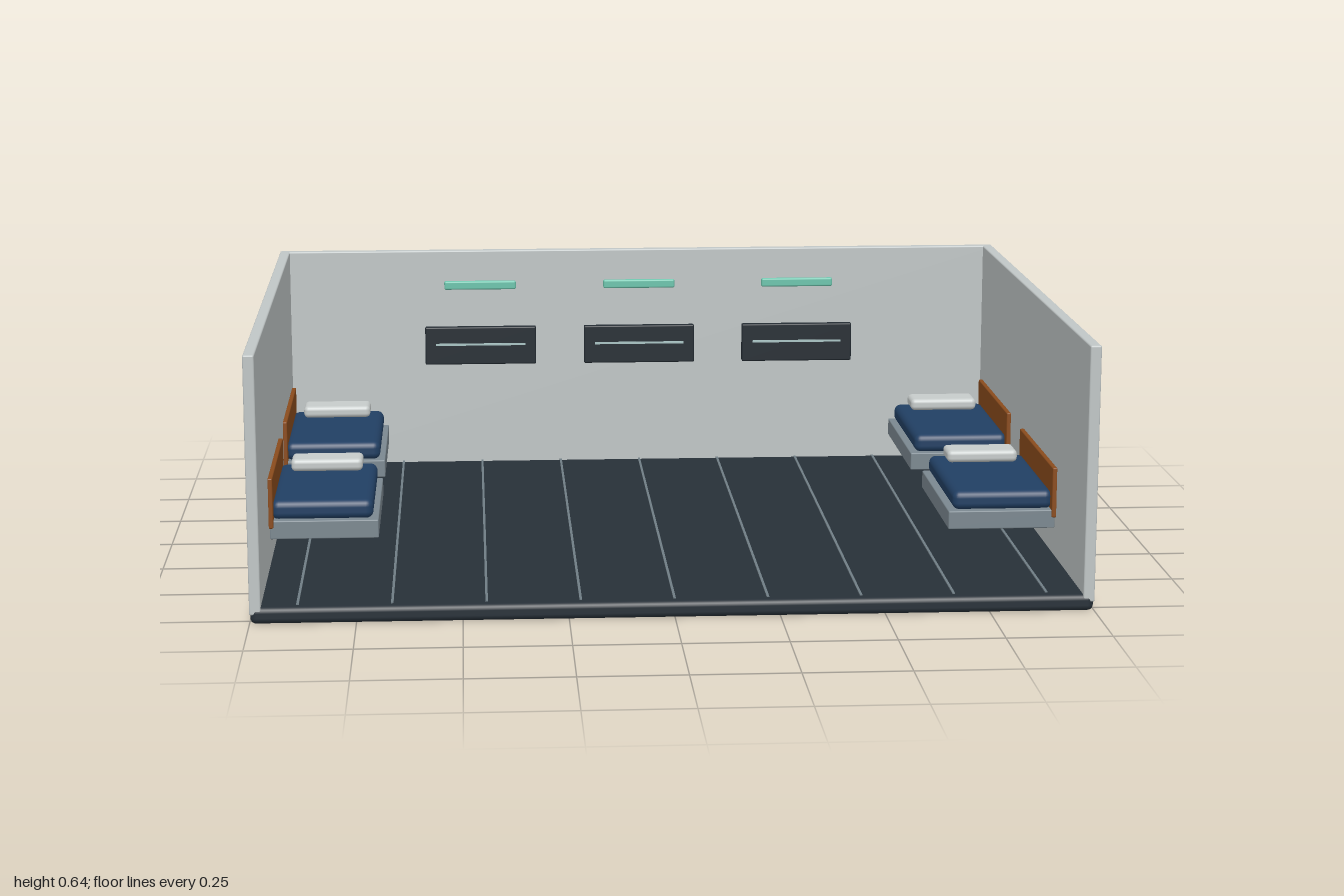
import * as THREE from 'three';
import { RoundedBoxGeometry } from 'three/addons/geometries/RoundedBoxGeometry.js';

const mat = (color) => new THREE.MeshStandardMaterial({ color });
const MAT = {
  wall: mat(0xc0c6c6), floor: mat(0x273038), seam: mat(0x6f7d84), base: mat(0x7b8890),
  blanket: mat(0x213f63), pillow: mat(0xc6cbca), wood: mat(0x8a4b1c),
  panel: mat(0x232b32), line: mat(0xa9c4c4), light: mat(0x6cc4ac),
};

// Box given by its [min, max] extents on each axis; r rounds the edges
function block(parent, name, material, [x0, x1], [y0, y1], [z0, z1], r = 0) {
  const size = [x1 - x0, y1 - y0, z1 - z0];
  const geo = r ? new RoundedBoxGeometry(...size, 3, r) : new THREE.BoxGeometry(...size);
  const mesh = new THREE.Mesh(geo, material);
  mesh.name = name;
  mesh.position.set((x0 + x1) / 2, (y0 + y1) / 2, (z0 + z1) / 2);
  parent.add(mesh);
  return mesh;
}

// Wall-mounted bunk against the wall on the given side (-1 or 1)
function createBunk(side, z) {
  const bunk = new THREE.Group();
  bunk.name = side > 0 ? 'leftBunk' : 'rightBunk';
  const span = (a, b) => (side > 0 ? [a, b] : [-b, -a]);
  block(bunk, 'bunkBase', MAT.base, span(0.705, 0.971), [0.112, 0.158], [-0.228, 0.228], 0.003);
  block(bunk, 'mattress', MAT.blanket, span(0.718, 0.968), [0.156, 0.204], [-0.213, 0.213], 0.018);
  block(bunk, 'pillow', MAT.pillow, span(0.753, 0.935), [0.204, 0.236], [-0.195, -0.108], 0.012);
  block(bunk, 'headboard', MAT.wood, span(0.962, 0.974), [0.14, 0.266], [-0.234, 0.234], 0.003);
  bunk.position.z = z;
  return bunk;
}

export function createModel() {
  const room = new THREE.Group();
  room.name = 'bunkRoom';

  // Floor slab and its seams
  block(room, 'floor', MAT.floor, [-0.998, 0.998], [0, 0.04], [-0.768, 0.782], 0.014);
  for (let i = -4; i <= 4; i++) {
    const x = i * 0.222;
    block(room, 'floorSeam', MAT.seam, [x - 0.003, x + 0.003], [0.038, 0.043], [-0.757, 0.756]);
  }

  // Three walls, open at the front
  block(room, 'backWall', MAT.wall, [-1, 1], [0.022, 0.642], [-0.784, -0.757], 0.004);
  for (const s of [-1, 1]) {
    const x = s > 0 ? [0.973, 1] : [-1, -0.973];
    block(room, 'sideWall', MAT.wall, x, [0.022, 0.642], [-0.77, 0.781], 0.004);
    for (const z of [-0.482, 0.182]) room.add(createBunk(s, z));
  }

  // Display panels with light strips above
  for (const x of [-0.445, 0, 0.445]) {
    block(room, 'wallPanel', MAT.panel, [x - 0.155, x + 0.155], [0.322, 0.428], [-0.76, -0.738], 0.004);
    block(room, 'panelLine', MAT.line, [x - 0.125, x + 0.125], [0.376, 0.382], [-0.742, -0.735]);
    block(room, 'lightStrip', MAT.light, [x - 0.1, x + 0.1], [0.533, 0.557], [-0.76, -0.745], 0.005);
  }
  return room;
}
